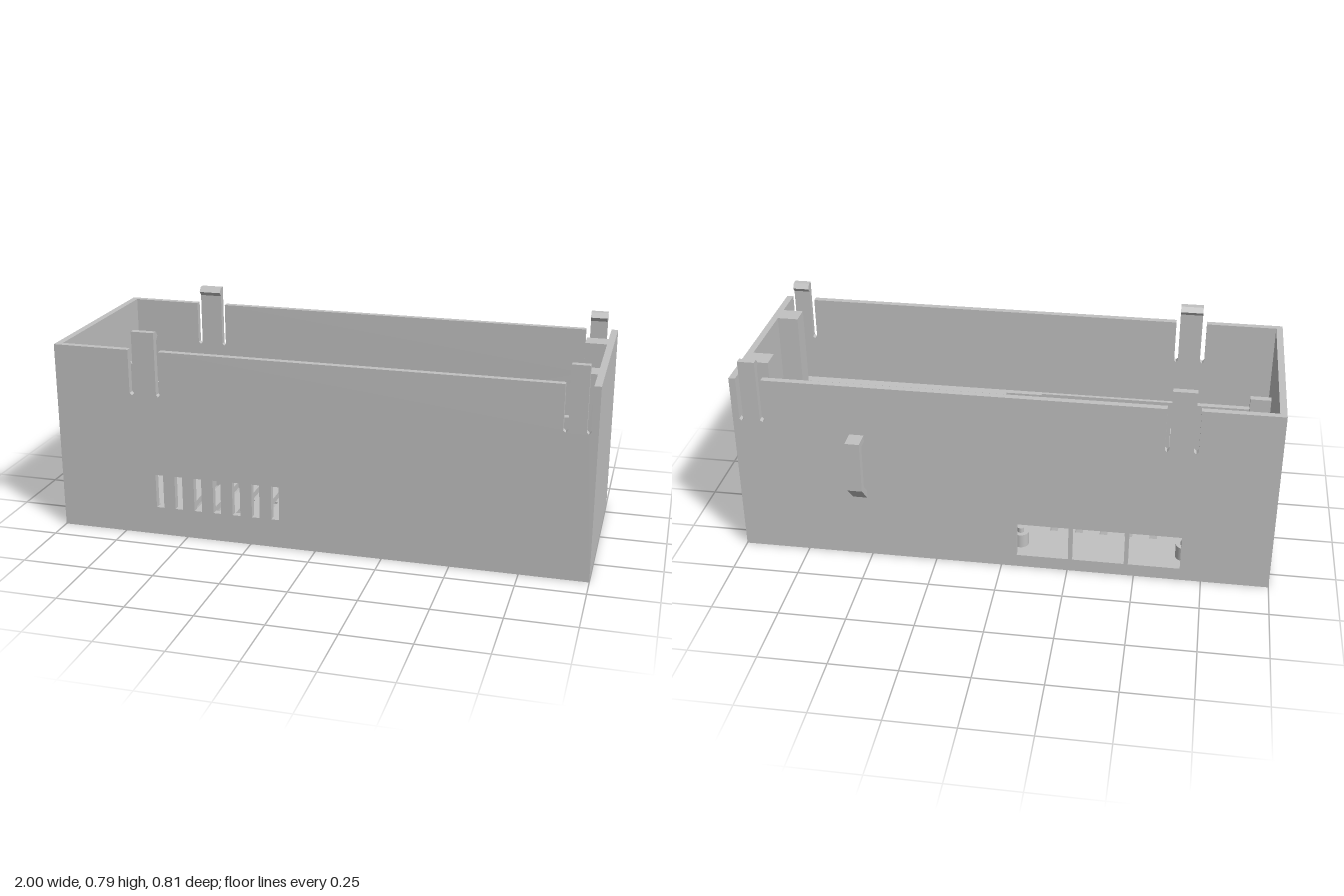
import * as THREE from 'three';

const X = 1, BACK = -0.335, FRONT = 0.405, H = 0.72, T = 0.025;

const poly = (pts) => new THREE.Shape(pts.map(([a, b]) => new THREE.Vector2(a, b)));
const rect = (a0, a1, b0, b1) => poly([[a0, b0], [a1, b0], [a1, b1], [a0, b1]]);
const extrude = (shape, depth) =>
  new THREE.ExtrudeGeometry(shape, { depth, bevelEnabled: false, curveSegments: 24 });
const withHoles = (shape, holes) => { shape.holes.push(...holes); return shape; };
// Shape drawn in (z, y), running from x0 to x1
const alongX = (shape, x0, x1) => extrude(shape, x1 - x0).rotateY(-Math.PI / 2).translate(x1, 0, 0);
// Shape drawn in (x, -z), rising from y0 to y1
const upward = (shape, y0, y1) => extrude(shape, y1 - y0).rotateX(-Math.PI / 2).translate(0, y0, 0);

export function createModel() {
  const grey = new THREE.MeshStandardMaterial({ color: 0xc1c1c1 });
  grey.name = 'light grey plastic';
  const model = new THREE.Group();
  model.name = 'enclosure';
  const add = (name, geometry) => {
    const mesh = new THREE.Mesh(geometry, grey);
    mesh.name = name;
    model.add(mesh);
  };
  const box = (name, x0, x1, y0, y1, z0, z1) =>
    add(name, new THREE.BoxGeometry(x1 - x0, y1 - y0, z1 - z0)
      .translate((x0 + x1) / 2, (y0 + y1) / 2, (z0 + z1) / 2));

  // Long walls, with a pair of slits freeing each snap clip
  const clips = [[-0.69, -0.603], [0.897, 0.96]];
  const longWall = () => {
    const pts = [[-X, 0], [X, 0], [X, H]];
    const slits = clips.flatMap(([a, b]) => [[a - 0.017, a], [b, b + 0.015]]).reverse();
    for (const [a, b] of slits) pts.push([b, H], [b, 0.555], [(a + b) / 2, 0.547], [a, 0.555], [a, H]);
    pts.push([-X, H]);
    return poly(pts);
  };
  const vents = [];
  for (let i = 0; i < 7; i++) {
    const x = -0.605 + i * 0.0755;
    vents.push(rect(x - 0.015, x + 0.015, 0.11, 0.24));
  }
  add('frontWall', extrude(withHoles(longWall(), vents), T).translate(0, 0, FRONT - T));
  const backPorts = [[-0.67, -0.477], [-0.462, -0.267], [-0.252, -0.058]]
    .map(([a, b]) => rect(a, b, 0.05, 0.188));
  add('backWall', extrude(withHoles(longWall(), backPorts), T).translate(0, 0, BACK));

  // End walls, the right one with three ports
  const endWall = () => rect(BACK + T, FRONT - T, 0, H);
  add('leftWall', alongX(endWall(), X - T, X));
  const endPorts = [[-0.256, -0.065], [-0.05, 0.145], [0.16, 0.365]]
    .map(([a, b]) => rect(a, b, 0.07, 0.303));
  add('rightWall', alongX(withHoles(endWall(), endPorts), -X, -X + T));

  // Floor with cooling slots and a screw hole
  const slots = [-0.56, -0.464, -0.367, -0.271, -0.173]
    .map((x) => rect(x - 0.015, x + 0.015, -0.208, 0.115));
  const hole = new THREE.Path().absarc(0.3, -0.032, 0.038, 0, Math.PI * 2);
  add('floor', upward(withHoles(rect(-X + T, X - T, -FRONT + T, -BACK - T), [...slots, hole]), 0, T));

  // Round boss with a hexagonal nut pocket
  const boss = new THREE.Shape().absarc(0.3, -0.032, 0.107, 0, Math.PI * 2);
  const hex = poly(Array.from({ length: 6 }, (_, i) =>
    [0.3 + 0.073 * Math.cos(i * Math.PI / 3), -0.032 + 0.073 * Math.sin(i * Math.PI / 3)]));
  add('nutBoss', upward(withHoles(boss, [hex]), T, 0.07));

  // Board standoffs with locating pins
  for (const x of [-0.68, -0.057]) for (const z of [-0.217, 0.31]) {
    add('standoff', new THREE.CylinderGeometry(0.031, 0.031, 0.055, 24).translate(x, 0.0525, z));
    add('standoffPin', new THREE.CylinderGeometry(0.013, 0.013, 0.02, 16).translate(x, 0.09, z));
  }

  // Snap clips above the rim, hooks pointing inward
  const hook = [[0, H], [0, 0.79], [0.025, 0.79], [0.04, 0.772], [0.025, 0.756], [0.025, H]];
  for (const [a, b] of clips) {
    add('frontClip', alongX(poly(hook.map(([d, y]) => [FRONT - d, y])), a, b));
    add('backClip', alongX(poly(hook.map(([d, y]) => [BACK + d, y])), a, b));
  }

  // Stepped ledges inside the long walls
  const zf = FRONT - T, zb = BACK + T, y0 = 0.335, y1 = 0.368;
  for (const [a, b, z] of [[-0.975, -0.67, 0.355], [-0.67, -0.06, 0.365], [-0.06, 0.085, 0.355], [0.085, 0.975, 0.34]])
    box('frontLedge', a, b, y0, y1, z, zf);
  for (const [a, b, z] of [[-0.975, 0.085, -0.295], [0.085, 0.975, -0.28]])
    box('backLedge', a, b, y0, y1, zb, z);

  // Pillars up to the rim at the left end, board stops above the ports at the right end
  for (const z of [-0.197, 0.19]) box('pillar', 0.895, 0.975, T, H, z, z + 0.077);
  for (const z of [-0.175, 0.213]) box('boardStop', -0.975, -0.895, y0, 0.49, z, z + 0.028);

  // Hanging bracket on the back
  add('backBracket', alongX(poly([
    [BACK, 0.522], [-0.405, 0.522], [-0.405, 0.323], [BACK, 0.253],
    [BACK, 0.285], [-0.374, 0.323], [-0.374, 0.495], [BACK, 0.495],
  ]), 0.508, 0.562));

  return model;
}
